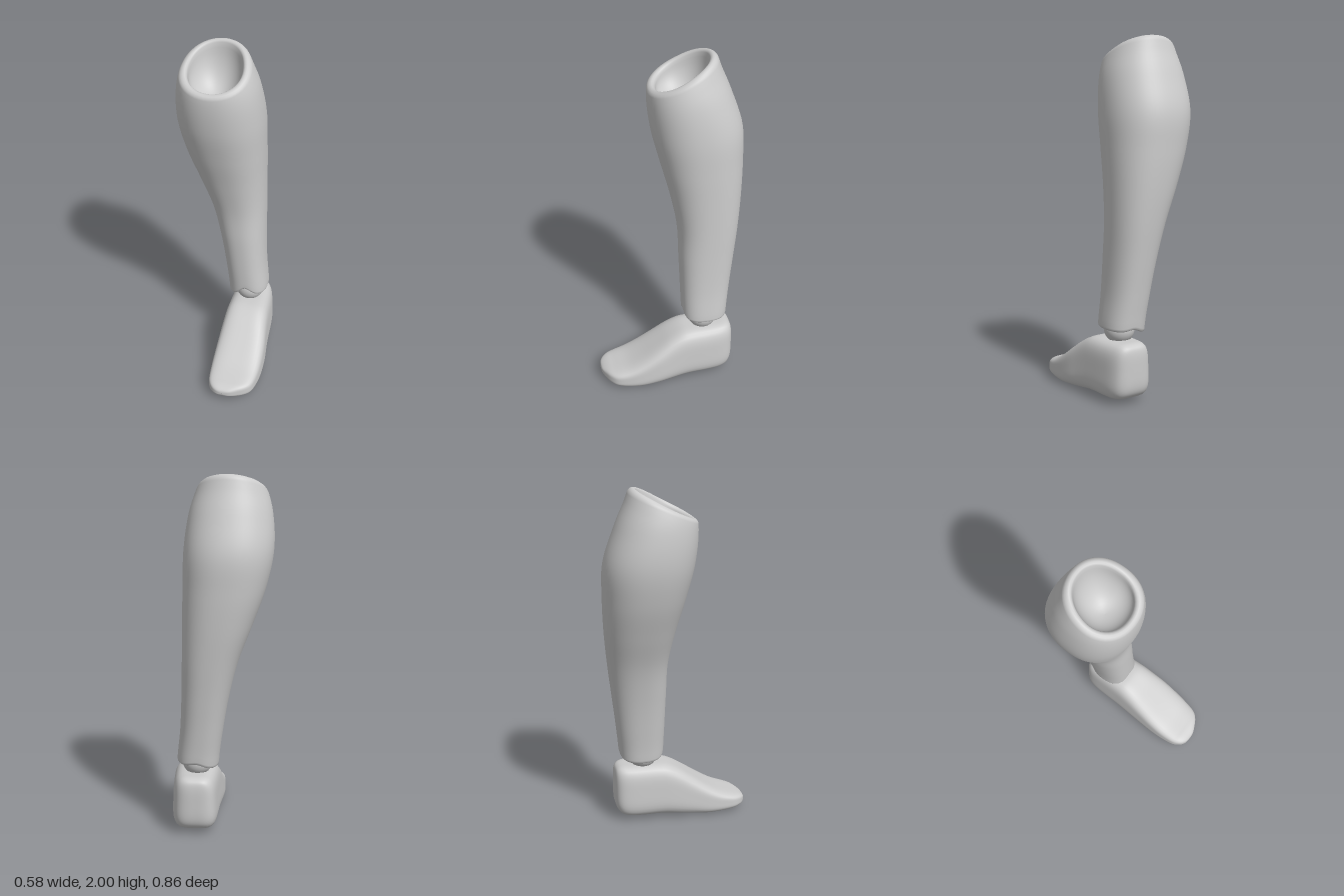
import * as THREE from 'three';

const SIDES = 56;
const material = new THREE.MeshStandardMaterial({ color: 0xcccccc });

// Catmull-Rom blend of table rows; u is a fractional row index
function sampleRow(rows, u) {
  const last = rows.length - 1;
  const i = Math.min(Math.floor(u), last - 1), f = u - i;
  const at = (k) => rows[Math.max(0, Math.min(last, k))];
  return rows[i].map((_, c) => {
    const a = at(i - 1)[c], b = at(i)[c], d = at(i + 1)[c], e = at(i + 2)[c];
    return b + 0.5 * f * (d - a + f * (2 * a - 5 * b + 4 * d - e + f * (3 * (b - d) + e - a)));
  });
}

// Unit superellipse point: n = 2 is a circle, larger is squarer
function roundedSquare(angle, n) {
  const c = Math.cos(angle), s = Math.sin(angle);
  const r = Math.pow(Math.abs(c) ** n + Math.abs(s) ** n, -1 / n);
  return [c * r, s * r];
}

// Skin over closed rings; ringPoint(k, angle) gives [x, y, z]
function loft(name, ringCount, ringPoint) {
  const positions = [], index = [];
  for (let k = 0; k < ringCount; k++) {
    for (let i = 0; i < SIDES; i++) {
      positions.push(...ringPoint(k, (i / SIDES) * Math.PI * 2));
      if (k === ringCount - 1) continue;
      const j = (i + 1) % SIDES;
      const a = k * SIDES + i, b = k * SIDES + j;
      index.push(a, a + SIDES, b, b, a + SIDES, b + SIDES);
    }
  }
  const geometry = new THREE.BufferGeometry();
  geometry.setAttribute('position', new THREE.Float32BufferAttribute(positions, 3));
  geometry.setIndex(index);
  geometry.computeVertexNormals();
  const mesh = new THREE.Mesh(geometry, material);
  mesh.name = name;
  return mesh;
}

// Lower leg outline: left x, right x, front z, back z, every 0.2 from y = 0.4
const legRows = [
  [0.0, 0.235, -0.07, -0.33],
  [-0.025, 0.215, -0.065, -0.35],
  [-0.06, 0.205, -0.06, -0.375],
  [-0.11, 0.2, -0.055, -0.4],
  [-0.185, 0.197, -0.02, -0.42],
  [-0.255, 0.195, 0.03, -0.43],
  [-0.295, 0.19, 0.075, -0.425],
  [-0.285, 0.162, 0.09, -0.36],
  [-0.235, 0.1, 0.06, -0.285],
];

// Point on the leg skin at a height, pulled inwards by inset
function legPoint(angle, y, inset = 0) {
  const u = Math.max(0, Math.min(8, (y - 0.4) / 0.2));
  const [x0, x1, zf, zb] = sampleRow(legRows, u);
  const [c, s] = roundedSquare(angle, 2.45 - 0.04 * u);
  return [
    (x0 + x1) / 2 + c * ((x1 - x0) / 2 - inset), y,
    (zf + zb) / 2 + s * ((zf - zb) / 2 - inset),
  ];
}

// Slanted knee rim, low in front
function topRim(angle) {
  const s = Math.sin(angle);
  return 1.93 - 0.083 * s - 0.012 * s * s + 0.008 * Math.cos(angle);
}

// Wavy ankle rim, arched in front and a little behind
function bottomRim(angle) {
  const s = Math.sin(angle), c = Math.cos(angle);
  const arch = Math.exp(-((c / 0.45) ** 2));
  return 0.398 + 0.014 * c + arch * (s > 0 ? 0.058 : 0.02);
}

function makeLowerLeg() {
  const domeRings = 6, bodyRings = 44, bowlRings = 14;
  const rings = [];
  // hollow over the ankle ball
  for (let k = 0; k < domeRings; k++) {
    const f = (k / domeRings) * Math.PI / 2;
    rings.push((a) => {
      const y = bottomRim(a) + 0.01;
      const p = legPoint(a, y, 0.022), r = Math.sin(f);
      return [0.12 + (p[0] - 0.12) * r, y + (0.5 - y) * Math.cos(f), -0.195 + (p[2] + 0.195) * r];
    });
  }
  // rounded ankle edge
  for (const [inset, rise] of [[0.022, 0.008], [0.015, 0.001], [0.008, 0.001], [0.002, 0.007]]) {
    rings.push((a) => legPoint(a, bottomRim(a) + rise, inset));
  }
  // outer wall
  for (let k = 0; k <= bodyRings; k++) {
    rings.push((a) => {
      const y0 = bottomRim(a) + 0.018, y1 = topRim(a) - 0.028;
      return legPoint(a, y0 + (y1 - y0) * (k / bodyRings));
    });
  }
  // rounded knee lip
  const lip = [[0.002, 0.016], [0.008, 0.007], [0.017, 0.001], [0.027, 0], [0.037, 0.005], [0.045, 0.014]];
  for (const [inset, drop] of lip) rings.push((a) => legPoint(a, topRim(a) - drop, inset));
  // knee bowl
  for (let k = 1; k <= bowlRings; k++) {
    const f = (k / bowlRings) * Math.PI / 2;
    rings.push((a) => {
      const p = legPoint(a, topRim(a) - 0.014, 0.047), r = Math.cos(f);
      return [-0.07 + (p[0] + 0.07) * r, p[1] + (1.73 - p[1]) * Math.sin(f), -0.09 + (p[2] + 0.09) * r];
    });
  }
  return loft('lowerLeg', rings.length, (k, a) => rings[k](a));
}

// Foot stations from toe to heel: z, left x, right x, sole y, top y
const footRows = [
  [0.432, 0.098, 0.102, 0.058, 0.062],
  [0.428, 0.065, 0.14, 0.045, 0.078],
  [0.412, 0.035, 0.18, 0.035, 0.091],
  [0.385, 0.012, 0.228, 0.027, 0.103],
  [0.345, -0.003, 0.262, 0.018, 0.114],
  [0.27, -0.012, 0.281, 0.008, 0.14],
  [0.19, -0.015, 0.29, 0.002, 0.185],
  [0.1, -0.014, 0.291, 0.007, 0.247],
  [0.02, -0.012, 0.284, 0.014, 0.302],
  [-0.05, -0.009, 0.278, 0.022, 0.336],
  [-0.11, -0.006, 0.274, 0.025, 0.345],
  [-0.2, -0.002, 0.268, 0.024, 0.345],
  [-0.27, 0.003, 0.26, 0.026, 0.345],
  [-0.315, 0.012, 0.247, 0.036, 0.344],
  [-0.342, 0.028, 0.228, 0.056, 0.335],
  [-0.358, 0.052, 0.2, 0.085, 0.315],
  [-0.365, 0.085, 0.165, 0.13, 0.27],
  [-0.366, 0.124, 0.126, 0.199, 0.201],
];

function makeFoot() {
  const steps = 4;
  return loft('foot', (footRows.length - 1) * steps + 1, (k, a) => {
    const [z, x0, x1, y0, y1] = sampleRow(footRows, k / steps);
    const [c, s] = roundedSquare(a, 4.2);
    // upper side narrows slightly
    const taper = 1 - 0.05 * (s + 1) * Math.min(1, (y1 - y0) / 0.3);
    return [(x0 + x1) / 2 + c * taper * (x1 - x0) / 2, (y0 + y1) / 2 + s * (y1 - y0) / 2, z];
  });
}

export function createModel() {
  const model = new THREE.Group();
  model.name = 'lowerLegAndFoot';
  const ankle = new THREE.Mesh(new THREE.SphereGeometry(0.086, 32, 20), material);
  ankle.name = 'ankleBall';
  ankle.position.set(0.122, 0.4, -0.19);
  model.add(makeLowerLeg(), ankle, makeFoot());
  return model;
}
